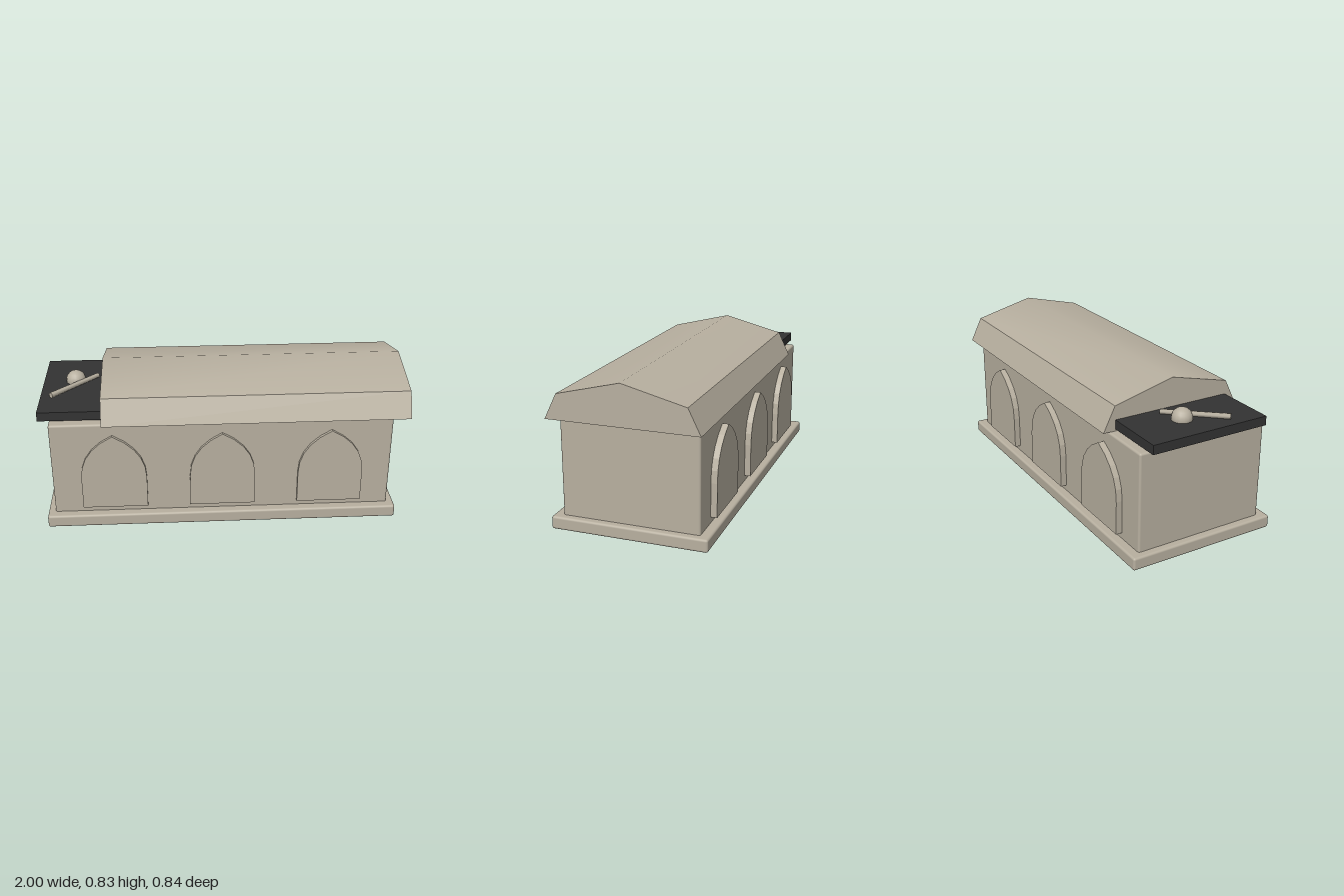
import * as THREE from 'three';
import { toCreasedNormals } from 'three/addons/utils/BufferGeometryUtils.js';
import { RoundedBoxGeometry } from 'three/addons/geometries/RoundedBoxGeometry.js';

export function createModel() {
  const group = new THREE.Group();
  const stone = new THREE.MeshStandardMaterial({ color: 0xb8b0a0 });
  stone.name = 'stone';
  const dark = new THREE.MeshStandardMaterial({ color: 0x333333 });
  dark.name = 'dark';

  function add(name, geometry, material, x = 0, y = 0, z = 0) {
    const mesh = new THREE.Mesh(geometry, material);
    mesh.name = name;
    mesh.position.set(x, y, z);
    group.add(mesh);
    return mesh;
  }

  // Plinth and chest, both with softened edges
  add('plinth', new RoundedBoxGeometry(1.935, 0.07, 0.844, 2, 0.012), stone, -0.015, 0.035, 0);
  add('chest', new RoundedBoxGeometry(1.855, 0.565, 0.742, 2, 0.012), stone, -0.015, 0.3255, 0);

  // Lid: gabled section run along x, slid towards +x
  const section = new THREE.Shape([
    [-0.405, 0.61], [0.405, 0.61], [0.339, 0.745], [0, 0.83], [-0.339, 0.745],
  ].map(([x, y]) => new THREE.Vector2(x, y)));
  let lid = new THREE.ExtrudeGeometry(section, { depth: 1.66, bevelEnabled: false });
  lid.rotateY(Math.PI / 2);
  lid = toCreasedNormals(lid, 0.6);
  add('lid', lid, stone, -0.66, 0, 0);

  // Pointed arch panels, three on each long side
  const arch = new THREE.Shape();
  arch.moveTo(-0.178, 0.102);
  arch.lineTo(0.178, 0.102);
  arch.lineTo(0.178, 0.285);
  arch.quadraticCurveTo(0.178, 0.455, 0, 0.542);
  arch.quadraticCurveTo(-0.178, 0.455, -0.178, 0.285);
  const panel = new THREE.ExtrudeGeometry(arch, { depth: 0.04, bevelEnabled: false, curveSegments: 5 });
  for (const x of [-0.607, -0.015, 0.578]) {
    add('frontArch', panel, stone, x, 0, 0.349);
    add('backArch', panel, stone, x, 0, -0.405);
  }

  // Dark slab at the open end
  add('openingSlab', new THREE.BoxGeometry(0.38, 0.05, 0.672), dark, -0.81, 0.645, 0);

  // Skull and bone lying on the slab
  add('skull', new THREE.SphereGeometry(0.055, 16, 12), stone, -0.82, 0.68, -0.05);
  const from = new THREE.Vector3(-0.94, 0.685, 0.16);
  const to = new THREE.Vector3(-0.7, 0.68, -0.1);
  const along = to.clone().sub(from);
  const bone = add('bone', new THREE.CylinderGeometry(0.014, 0.016, along.length(), 6), stone);
  bone.position.copy(from).add(to).multiplyScalar(0.5);
  bone.quaternion.setFromUnitVectors(new THREE.Vector3(0, 1, 0), along.normalize());

  return group;
}
